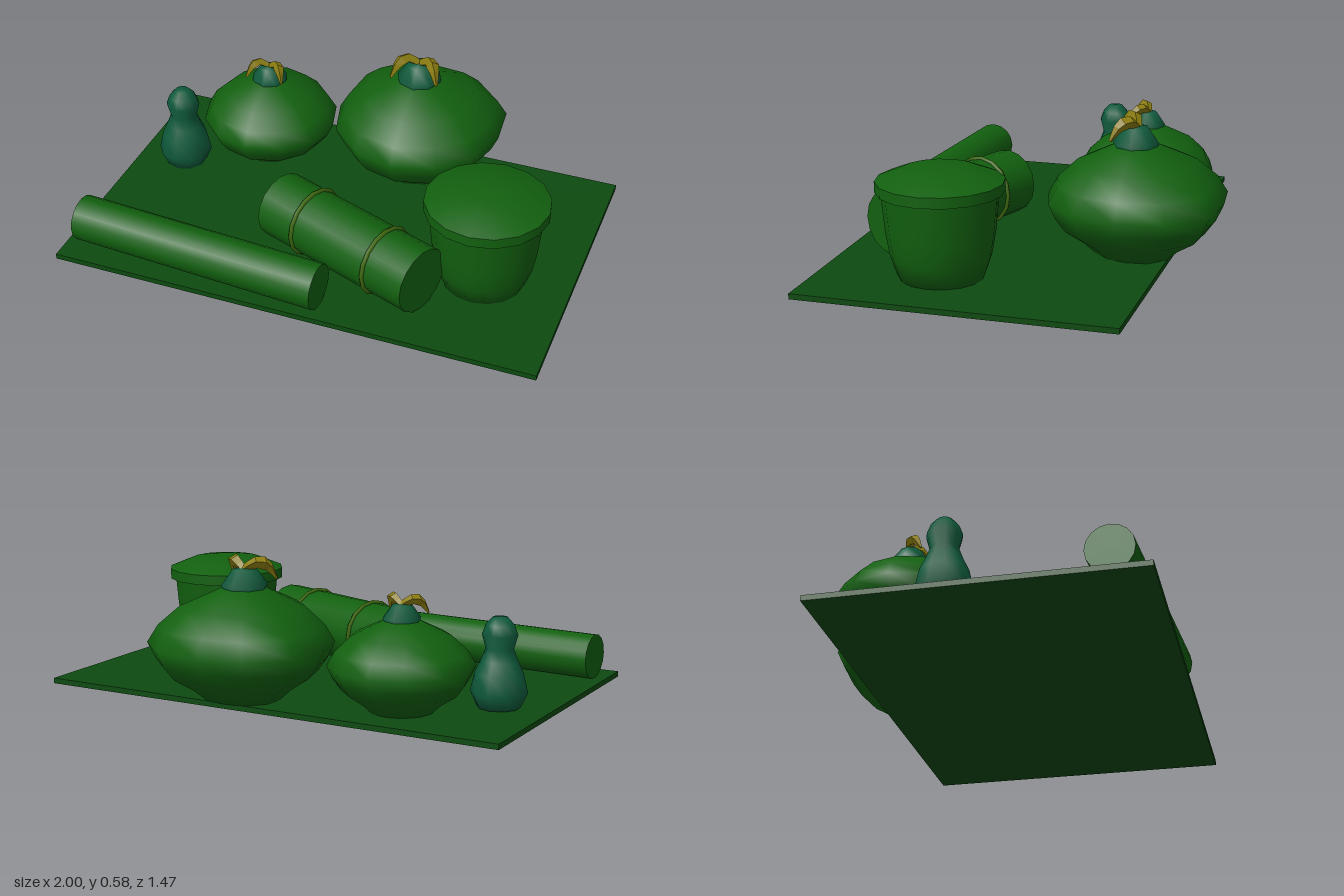
import * as THREE from 'three';
import { mergeVertices } from 'three/addons/utils/BufferGeometryUtils.js';

const paint = (color, extra = {}) => new THREE.MeshStandardMaterial({ color, ...extra });
const green = paint(0x12600f);
const boardGreen = paint(0x0d4a10);
const teal = paint(0x0f5a3c);
const gold = paint(0x8a7c10, { side: THREE.DoubleSide, flatShading: true });
const olive = paint(0x3f6a10);

function add(parent, name, geometry, material, x = 0, y = 0, z = 0) {
  const mesh = new THREE.Mesh(geometry, material);
  mesh.name = name;
  mesh.position.set(x, y, z);
  parent.add(mesh);
  return mesh;
}

const lathe = (profile, sides) =>
  new THREE.LatheGeometry(profile.map(([r, y]) => new THREE.Vector2(r, y)), sides);

// Round sack body; the back half bulges a little towards its corners
function sackGeometry(backBulge) {
  let g = lathe([[0, 0], [0.155, 0], [0.21, 0.05], [0.285, 0.1], [0.325, 0.155], [0.355, 0.22],
    [0.315, 0.29], [0.235, 0.365], [0.09, 0.435], [0, 0.44]], 12);
  g.deleteAttribute('uv');
  g.deleteAttribute('normal');
  const p = g.attributes.position;
  for (let i = 0; i < p.count; i++) {
    const x = p.getX(i), z = p.getZ(i);
    if (z > -0.001) continue;
    const k = 1 + backBulge * Math.sin(2 * Math.atan2(x, z)) ** 2;
    p.setX(i, x * k);
    p.setZ(i, z * k);
  }
  g = mergeVertices(g, 1e-5);
  g.computeVertexNormals();
  return g;
}

// One folded ribbon loop: a four-sided tube that swells and tapers
function ribbonGeometry(side) {
  const path = new THREE.CatmullRomCurve3([[0, 0.51, -0.005], [0.05, 0.54, 0.015], [0.075, 0.528, 0.045],
    [0.1, 0.47, 0.08]].map(([x, y, z]) => new THREE.Vector3(side * x, y, z)));
  const steps = 6, radial = 4;
  const g = new THREE.TubeGeometry(path, steps, 0.028, radial);
  const p = g.attributes.position, v = new THREE.Vector3();
  for (let i = 0; i < p.count; i++) {
    const t = Math.floor(i / (radial + 1)) / steps;
    const c = path.getPointAt(t);
    v.fromBufferAttribute(p, i).sub(c).multiplyScalar(t < 0.5 ? 0.6 + 0.7 * t : 1.7 - 1.5 * t).add(c);
    p.setXYZ(i, v.x, v.y, v.z);
  }
  g.computeVertexNormals();
  return g;
}

function sack(name, x, z, scale, backBulge) {
  const group = new THREE.Group();
  group.name = name;
  add(group, 'sackBody', sackGeometry(backBulge), green);
  add(group, 'sackKnot', lathe([[0.07, 0.41], [0.095, 0.448], [0.05, 0.51], [0, 0.52]], 8), teal);
  for (const side of [-1, 1]) add(group, 'sackRibbon', ribbonGeometry(side), gold);
  group.position.set(x, 0.02, z);
  group.scale.setScalar(scale);
  return group;
}

// Cylinder lying flat, from (x0, z0) to (x1, z1), with bands at the given fractions
function roll(name, x0, z0, x1, z1, y, radius, bands) {
  const group = new THREE.Group();
  group.name = name;
  const length = Math.hypot(x1 - x0, z1 - z0);
  add(group, 'rollBody', new THREE.CylinderGeometry(radius, radius, length, 16).rotateZ(Math.PI / 2), green);
  for (const t of bands) {
    const band = new THREE.TorusGeometry(radius + 0.003, 0.009, 6, 16).rotateY(Math.PI / 2);
    add(group, 'rollBand', band, olive, (t - 0.5) * length);
  }
  group.position.set((x0 + x1) / 2, y, (z0 + z1) / 2);
  group.rotation.y = -Math.atan2(z1 - z0, x1 - x0);
  return group;
}

export function createModel() {
  const model = new THREE.Group();
  model.name = 'traySet';

  add(model, 'board', new THREE.BoxGeometry(2, 0.022, 1.26), boardGreen, 0, 0.011, 0.095);

  model.add(sack('largeSack', 0.155, -0.385, 1, 0.12));
  model.add(sack('smallSack', -0.485, -0.285, 0.81, 0));

  model.add(roll('thickRoll', -0.21, 0.255, 0.48, 0.515, 0.158, 0.135, [0.245, 0.747]));
  model.add(roll('thinRoll', -0.95, 0.568, 0.105, 0.638, 0.112, 0.093, []));

  // Tapered pot with an overhanging domed lid
  const pot = new THREE.Group();
  pot.name = 'pot';
  pot.position.set(0.65, 0, 0.25);
  model.add(pot);
  add(pot, 'potBody', lathe([[0, 0.02], [0.165, 0.02], [0.195, 0.11], [0.21, 0.2], [0.225, 0.36]], 16), green);
  add(pot, 'lidRim', lathe([[0.2, 0.36], [0.247, 0.36], [0.247, 0.36], [0.247, 0.402]], 16), green);
  add(pot, 'lidTop', lathe([[0.247, 0.402], [0.15, 0.442], [0.07, 0.452], [0, 0.455]], 16), green);

  // Small bottle with a rounded head
  add(model, 'bottle', lathe([[0, 0.02], [0.085, 0.025], [0.112, 0.085], [0.095, 0.16], [0.072, 0.21],
    [0.055, 0.255], [0.07, 0.31], [0.055, 0.35], [0.03, 0.378], [0, 0.38]], 10), teal, -0.795, 0, -0.065);

  return model;
}
